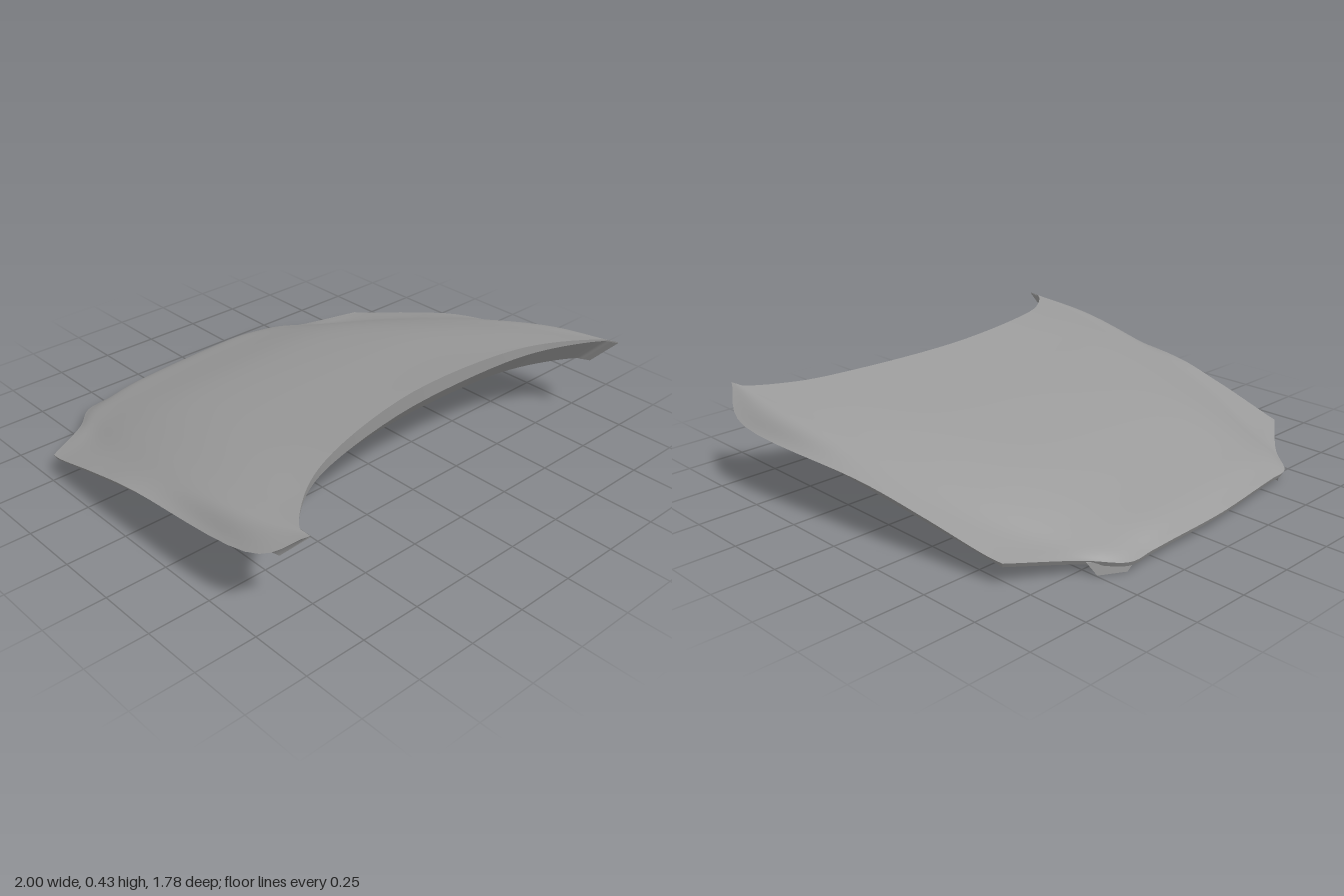
import * as THREE from 'three';

const V = (x, y, z) => new THREE.Vector3(x, y, z);
const mat = new THREE.MeshStandardMaterial({ color: 0x9b9b9b, side: THREE.DoubleSide });

// Guide curves of the outer skin, rear edge to nose, from the centre line outwards
const guides = [
  [[0, .434, .488], [0, .395, .28], [0, .345, 0], [0, .264, -.35], [0, .164, -.65], [0, .112, -.8], [0, .056, -.885]],
  [[.504, .429, .55], [.48, .387, .3], [.43, .335, 0], [.37, .255, -.35], [.33, .157, -.65], [.31, .107, -.8], [.3, .054, -.87]],
  [[.718, .42, .628], [.68, .378, .32], [.61, .32, 0], [.53, .237, -.35], [.46, .144, -.65], [.43, .097, -.79], [.41, .051, -.862]],
  [[.888, .416, .76], [.83, .363, .36], [.76, .293, 0], [.67, .209, -.34], [.58, .124, -.63], [.545, .084, -.77], [.523, .048, -.852]],
  [[.895, .418, .79], [.928, .363, .45], [.88, .274, .03], [.815, .184, -.3], [.72, .11, -.56], [.675, .082, -.68], [.645, .064, -.742]],
  [[.9, .42, .818], [.995, .31, .62], [.966, .252, .03], [.935, .19, -.25], [.905, .125, -.48], [.893, .106, -.55], [.884, .097, -.593]],
];
const ROWS = 36, COLS = 60;

// Smooth surface through rows of points
function grid(name, rows) {
  const pos = [], index = [], n = rows[0].length;
  rows.forEach(r => r.forEach(p => pos.push(p.x, p.y, p.z)));
  for (let i = 0; i < rows.length - 1; i++) {
    for (let j = 0; j < n - 1; j++) {
      const a = i * n + j, b = a + n;
      index.push(a, a + 1, b, a + 1, b + 1, b);
    }
  }
  const g = new THREE.BufferGeometry();
  g.setAttribute('position', new THREE.Float32BufferAttribute(pos, 3));
  g.setIndex(index);
  g.computeVertexNormals();
  const mesh = new THREE.Mesh(g, mat);
  mesh.name = name;
  return mesh;
}

// Skin points: loft across the mirrored guides
function skinRows() {
  const curves = guides.map(g => new THREE.CatmullRomCurve3(g.map(p => V(...p)), false, 'catmullrom', .5));
  const rows = [];
  for (let i = 0; i <= ROWS; i++) {
    const half = curves.map(c => c.getPoint(i / ROWS));
    const mirrored = half.slice(1).reverse().map(p => V(-p.x, p.y, p.z));
    rows.push(new THREE.CatmullRomCurve3([...mirrored, ...half]).getPoints(COLS));
  }
  return rows;
}

// Wedge under a nose corner: deep at the nose, fading into the underside behind it
function tabGeometry() {
  const shape = new THREE.Shape([[0, .045], [.03, 0], [.14, 0], [.18, .055]].map(p => new THREE.Vector2(...p)));
  const g = new THREE.ExtrudeGeometry(shape, { depth: .16, bevelEnabled: false });
  const pos = g.attributes.position;
  for (let i = 0; i < pos.count; i++) if (pos.getZ(i) > .01) pos.setY(i, .075);
  g.computeVertexNormals();
  return g;
}

export function createModel() {
  const group = new THREE.Group();
  group.name = 'hood';
  const body = new THREE.Group();
  body.name = 'hoodPanel';
  body.rotation.y = .078;
  body.position.x = -.045;
  group.add(body);

  const skin = skinRows();
  const crest = skin[0], nose = skin[ROWS];

  // Rear edge: upright lip, then a flange folding under and forward
  const lip = crest.map(p => {
    const k = 1 - Math.pow(Math.min(1, Math.abs(p.x) / .9), 2);
    return V(p.x, p.y - .005 - .064 * k, p.z - .006 * k);
  });
  const flange = lip.map(p => {
    const a = Math.abs(p.x);
    return V(p.x * 1.015, p.y - .115 - .015 * a, p.z - .1 - .028 * a);
  });
  const noseLow = nose.map(p => V(p.x * .99, p.y - .02, p.z + .01));

  // Underside follows the skin rows between rear flange and nose, slightly arched
  const under = skin.map(row => row.map((p, j) => {
    const k = (p.z - nose[j].z) / (crest[j].z - nose[j].z);
    const q = noseLow[j].clone().lerp(flange[j], k);
    const bow = Math.sin(Math.PI * k), side = Math.min(1, Math.abs(q.x) / .9);
    q.y += bow * (.06 - .037 * side * side);
    q.x *= 1 + .025 * bow;
    return q;
  }));

  body.add(grid('outerSkin', skin));
  body.add(grid('rearLip', [lip, crest]));
  body.add(grid('rearFlange', [flange, lip]));
  body.add(grid('underside', [...under].reverse()));
  body.add(grid('noseEdge', [nose, noseLow]));
  const edge = (rows, j) => rows.map(r => r[j]);
  body.add(grid('leftSideFlange', [edge(skin, COLS), edge(under, COLS)]));
  body.add(grid('rightSideFlange', [edge(under, 0), edge(skin, 0)]));

  // Small tabs hanging below the nose corners
  const tabGeo = tabGeometry();
  for (const s of [1, -1]) {
    const side = new THREE.Group();
    side.name = s > 0 ? 'leftTab' : 'rightTab';
    side.scale.x = s;
    const tab = new THREE.Mesh(tabGeo, mat);
    tab.name = 'noseTab';
    tab.position.set(.485, 0, -.85);
    tab.rotation.y = -.588;
    side.add(tab);
    body.add(side);
  }
  return group;
}
